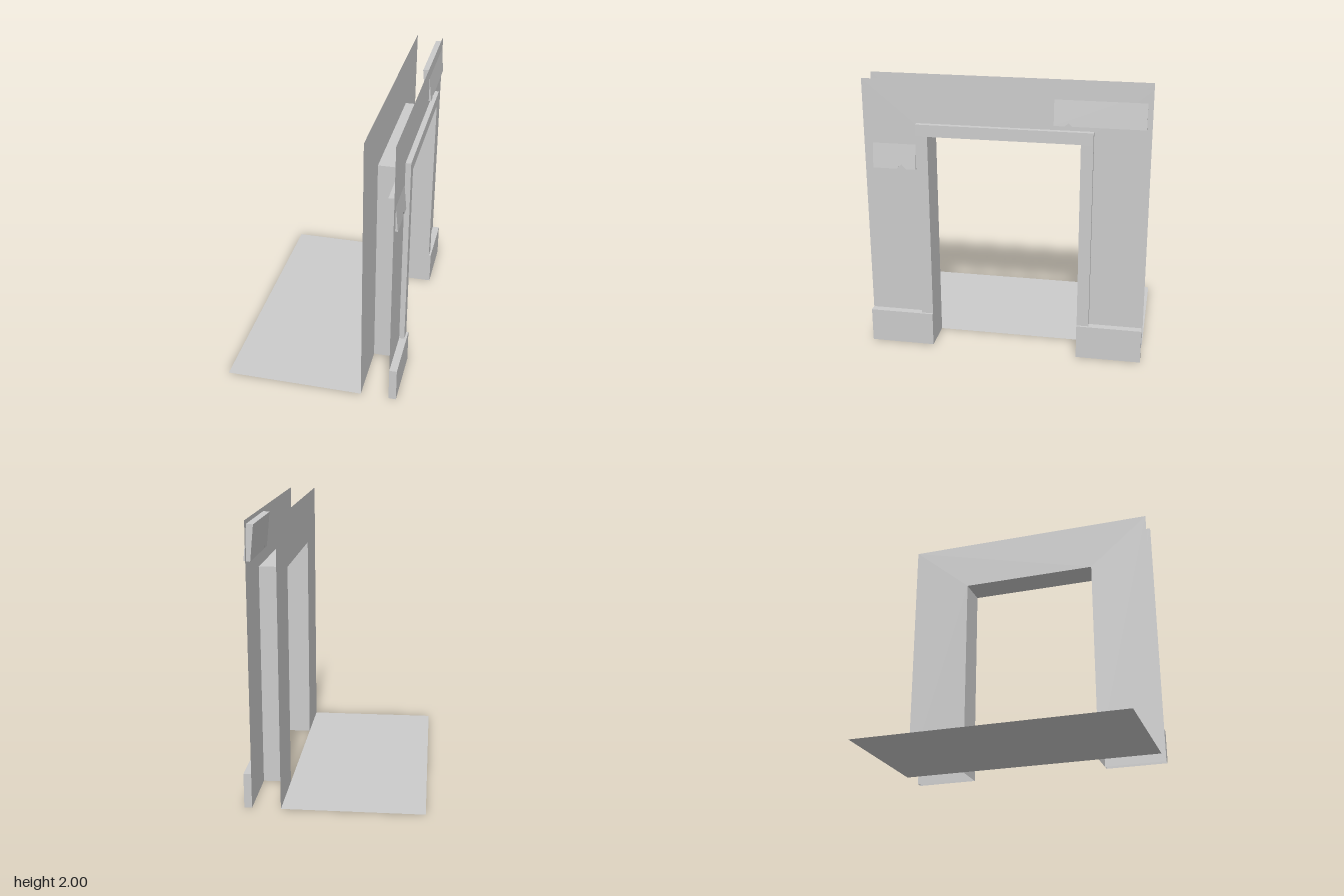
import * as THREE from 'three';

const INNER = 0.37, OUTER = 0.572;      // x of the two wall faces
const HALF = 0.534, HEAD = 1.612;       // doorway half width and height
const BASE = 0.25, CASING = 0.085;      // baseboard height, casing width

const material = new THREE.MeshStandardMaterial({
  color: 0xcccccc, flatShading: true, side: THREE.DoubleSide,
});

function add(parent, name, geometry) {
  const mesh = new THREE.Mesh(geometry, material);
  mesh.name = name;
  parent.add(mesh);
  return mesh;
}

// Box between two corners, leaving out hidden sides (0..5 = +x -x +y -y +z -z)
function openBox(min, max, omit) {
  const size = max.map((v, i) => v - min[i]);
  const geo = new THREE.BoxGeometry(...size);
  const all = Array.from(geo.index.array);
  geo.setIndex(all.filter((_, i) => !omit.includes(Math.floor(i / 6))));
  geo.clearGroups();
  return geo.translate(...min.map((v, i) => v + size[i] / 2));
}

// Wall sheet with a doorway cut from its lower edge
function wallSheet(x) {
  const shape = new THREE.Shape([
    [-1, 0], [-HALF, 0], [-HALF, HEAD], [HALF, HEAD],
    [HALF, 0], [1, 0], [1, 2], [-1, 2],
  ].map(p => new THREE.Vector2(...p)));
  return new THREE.ShapeGeometry(shape).rotateY(Math.PI / 2).translate(x, 0, 0);
}

// Leaning board with a small V notch in its lower edge
function notchedBoard(z0, z1, notch, notchHeight) {
  const height = 0.246, depth = 0.045;
  const shape = new THREE.Shape([
    [-z1, 0], [-notch[0], 0], [-notch[1], notchHeight], [-notch[2], 0],
    [-z0, 0], [-z0, height], [-z1, height],
  ].map(p => new THREE.Vector2(...p)));
  return new THREE.ExtrudeGeometry(shape, { depth, bevelEnabled: false })
    .translate(0, 0, -depth)
    .rotateY(Math.PI / 2)
    .rotateZ(0.1);
}

export function createModel() {
  const group = new THREE.Group();
  group.name = 'doorway';

  // Floor and the two wall faces
  add(group, 'floor', new THREE.PlaneGeometry(1, 2).rotateX(-Math.PI / 2)
    .translate(INNER - 0.5, 0, 0));
  add(group, 'innerWall', wallSheet(INNER));
  add(group, 'outerWall', wallSheet(OUTER));

  // Lining of the opening
  const depth = OUTER - INNER, midX = (OUTER + INNER) / 2;
  add(group, 'headReveal', new THREE.PlaneGeometry(depth, 2 * HALF)
    .rotateX(Math.PI / 2).translate(midX, HEAD, 0));

  const casingX = 0.61, edge = HALF + CASING;
  for (const side of [1, -1]) {
    const label = side > 0 ? 'front' : 'back';
    const span = (a, b) => [Math.min(side * a, side * b), Math.max(side * a, side * b)];

    const reveal = new THREE.PlaneGeometry(depth, HEAD);
    if (side > 0) reveal.rotateY(Math.PI);
    add(group, label + 'Reveal', reveal.translate(midX, HEAD / 2, side * HALF));

    // Casing upright standing on a baseboard
    const [c0, c1] = span(HALF, edge);
    add(group, label + 'Casing',
      openBox([OUTER, BASE, c0], [casingX, HEAD, c1], [1, 2, 3]));
    const [b0, b1] = span(HALF, 1);
    add(group, label + 'Baseboard',
      openBox([OUTER, 0, b0], [0.626, BASE, b1], [1, 3]));
  }

  // Casing across the top
  add(group, 'headCasing',
    openBox([OUTER, HEAD, -edge], [casingX, HEAD + CASING, edge], [1]));

  // Tilted boards whose lower edges poke through the outer wall
  add(group, 'lowerBoard', notchedBoard(0.63, 0.94, [0.77, 0.733, 0.7], 0.033))
    .position.set(0.59, 1.36, 0);
  add(group, 'upperBoard', notchedBoard(-0.97, -0.345, [-0.42, -0.445, -0.47], 0.023))
    .position.set(0.59, 1.73, 0);

  return group;
}
